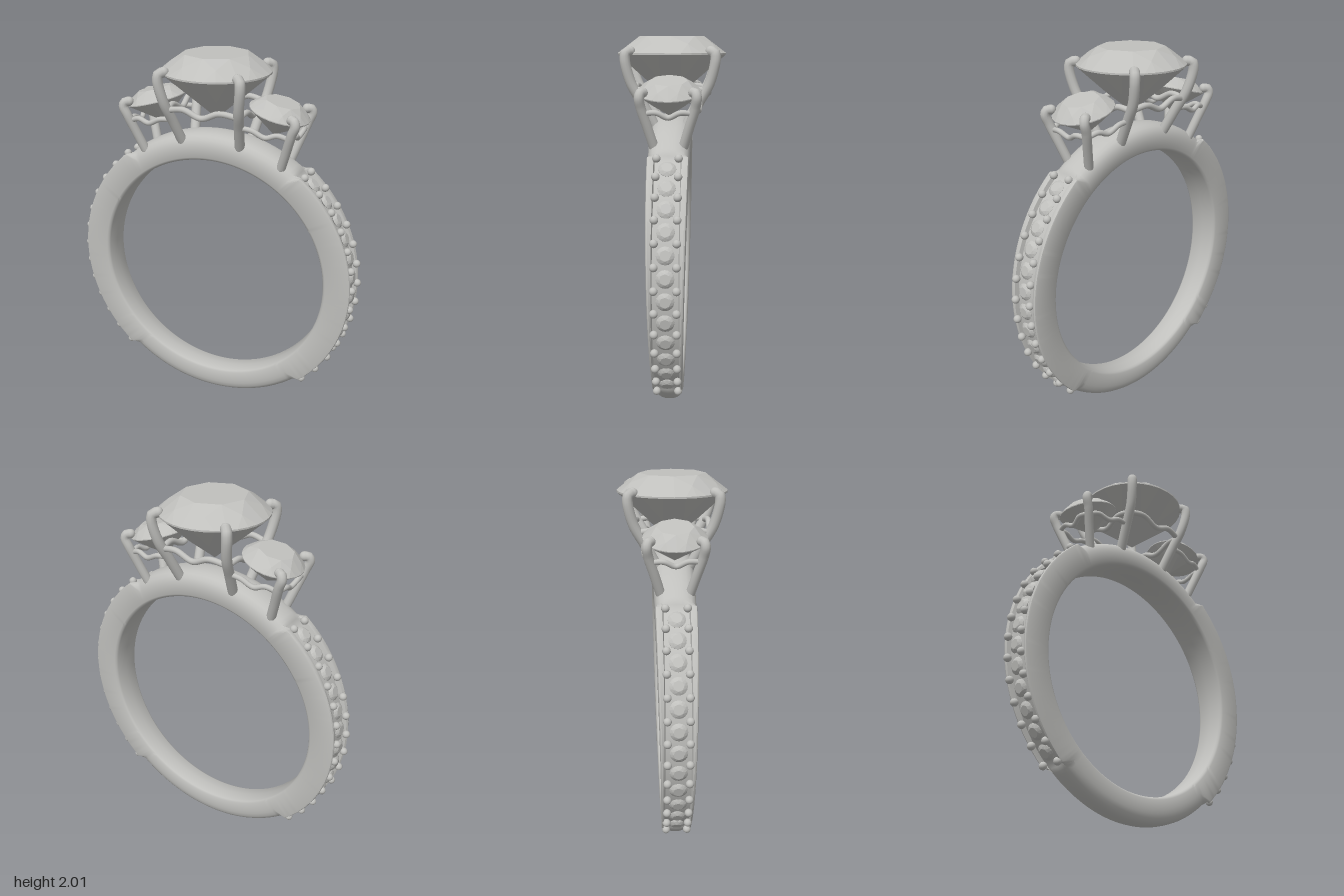
import * as THREE from 'three';
import { toCreasedNormals } from 'three/addons/utils/BufferGeometryUtils.js';
import { ConvexGeometry } from 'three/addons/geometries/ConvexGeometry.js';

const CY = 0.79;                    // height of the ring's centre
const PAVE_LOW = -47, PAVE_HIGH = 50; // degrees of the jewelled shoulders
const rad = THREE.MathUtils.degToRad;
const V = (x, y, z) => new THREE.Vector3(x, y, z);

// Half cross-sections as [z, radius], from mid outside round to mid inside
function profile(w, pave) {
  const plain = [
    [0, 0.797], [w * 0.3, 0.796], [w * 0.55, 0.79], [w * 0.75, 0.78], [w * 0.9, 0.763],
    [w * 0.98, 0.74], [w, 0.72], [w, 0.668], [w - 0.006, 0.658], [w - 0.016, 0.652], [0, 0.65],
  ];
  const channel = [
    [0, 0.776], [0.045, 0.776], [0.064, 0.776], [0.069, 0.798], [w - 0.01, 0.803],
    [w - 0.003, 0.8], [w, 0.792], [w, 0.668], [w - 0.006, 0.658], [w - 0.016, 0.652], [0, 0.65],
  ];
  const half = plain.map((p, i) => p.map((v, k) => THREE.MathUtils.lerp(v, channel[i][k], pave)));
  const back = half.slice(1, -1).reverse().map(([z, r]) => [-z, r]);
  return [...half, ...back];
}

// Band: cross-sections swept round the circle, wider at the top
function bandGeometry() {
  const pos = [], index = [], steps = 240;
  let n = 0;
  for (let i = 0; i < steps; i++) {
    const t = (i / steps) * Math.PI * 2, s = Math.sin(t);
    const e = THREE.MathUtils.radToDeg(Math.asin(s));
    const pave = THREE.MathUtils.smoothstep(e, PAVE_LOW - 4, PAVE_LOW - 1)
      * (1 - THREE.MathUtils.smoothstep(e, PAVE_HIGH + 1, PAVE_HIGH + 4));
    const section = profile(0.073 + 0.0175 * (s + 1), pave);
    n = section.length;
    for (const [z, r] of section) pos.push(r * Math.cos(t), CY + r * s, z);
  }
  for (let i = 0; i < steps; i++) {
    for (let j = 0; j < n; j++) {
      const i2 = (i + 1) % steps, j2 = (j + 1) % n;
      const a = i * n + j, b = i2 * n + j, c = i2 * n + j2, d = i * n + j2;
      index.push(a, b, c, a, c, d);
    }
  }
  const g = new THREE.BufferGeometry();
  g.setAttribute('position', new THREE.Float32BufferAttribute(pos, 3));
  g.setIndex(index);
  return toCreasedNormals(g, rad(38));
}

// Round brilliant cut: girdle at y = 0, table above, point below
function gemGeometry(R, crown, depth, sides, table = 0.6) {
  const pts = [V(0, -depth, 0)];
  const ring = (n, r, y, offset = 0) => {
    for (let k = 0; k < n; k++) {
      const a = ((k + offset) / n) * Math.PI * 2;
      pts.push(V(r * Math.cos(a), y, r * Math.sin(a)));
    }
  };
  ring(8, R * table, crown);
  ring(8, R * 0.82, crown * 0.55, 0.5);
  ring(sides, R, R * 0.015);
  ring(sides, R, -R * 0.015);
  ring(8, R * 0.5, -depth * 0.54, 0.5);
  return new ConvexGeometry(pts);
}

export function createModel() {
  const model = new THREE.Group();
  const metal = new THREE.MeshStandardMaterial({ color: 0xc0c0bd });
  metal.name = 'silver grey';

  const add = (name, geo, parent = model) => {
    const m = new THREE.Mesh(geo, metal);
    m.name = name;
    parent.add(m);
    return m;
  };
  // Round wire through points, with ball ends
  const wire = (name, points, r) => {
    const g = new THREE.Group();
    g.name = name;
    const curve = new THREE.CatmullRomCurve3(points);
    add(name + 'Rod', new THREE.TubeGeometry(curve, 28, r, 12), g);
    for (const p of [points[0], points[points.length - 1]]) {
      add(name + 'End', new THREE.SphereGeometry(r, 12, 8), g).position.copy(p);
    }
    model.add(g);
  };

  add('band', bandGeometry());

  // Centre stone
  add('centreStone', gemGeometry(0.292, 0.092, 0.255, 32)).position.y = 1.908;

  // Side stones, leaning outward
  const sideGem = gemGeometry(0.163, 0.06, 0.125, 24, 0.58);
  for (const s of [1, -1]) {
    const gem = add('sideStone', sideGem);
    gem.position.set(s * 0.353, 1.722, 0);
    gem.rotation.z = -s * rad(15);
  }

  for (const s of [1, -1]) {
    for (const f of [1, -1]) {
      // Claws of the centre stone
      wire('centreProng', [
        V(s * 0.165, 1.52, f * 0.075), V(s * 0.187, 1.65, f * 0.145), V(s * 0.208, 1.76, f * 0.205),
        V(s * 0.226, 1.88, f * 0.234), V(s * 0.222, 1.915, f * 0.23), V(s * 0.202, 1.922, f * 0.208),
      ], 0.027);
      // Claws of the side stones
      wire('sideProng', [
        V(s * 0.395, 1.45, f * 0.075), V(s * 0.43, 1.55, f * 0.105), V(s * 0.465, 1.65, f * 0.135),
        V(s * 0.484, 1.7, f * 0.142), V(s * 0.477, 1.721, f * 0.137), V(s * 0.458, 1.724, f * 0.124),
      ], 0.025);
      // Rail from centre claw to side claw
      wire('sideRail', [
        V(s * 0.19, 1.66, f * 0.15), V(s * 0.26, 1.655, f * 0.155), V(s * 0.33, 1.625, f * 0.15),
        V(s * 0.39, 1.64, f * 0.14), V(s * 0.452, 1.62, f * 0.122),
      ], 0.014);
    }
    // Wavy gallery rails below the centre stone
    wire('galleryRail', [
      V(-0.2, 1.72, s * 0.185), V(-0.1, 1.735, s * 0.2), V(0, 1.7, s * 0.2),
      V(0.1, 1.735, s * 0.2), V(0.2, 1.72, s * 0.185),
    ], 0.016);
    wire('galleryRail', [
      V(s * 0.2, 1.72, -0.185), V(s * 0.21, 1.73, -0.1), V(s * 0.205, 1.69, 0),
      V(s * 0.21, 1.73, 0.1), V(s * 0.2, 1.72, 0.185),
    ], 0.016);
    // Outer rail below each side stone
    wire('outerRail', [
      V(s * 0.452, 1.62, -0.122), V(s * 0.465, 1.625, -0.06), V(s * 0.455, 1.6, 0),
      V(s * 0.465, 1.625, 0.06), V(s * 0.452, 1.62, 0.122),
    ], 0.014);
  }

  // Small stones and beads set along both shoulders
  const smallGem = gemGeometry(0.045, 0.014, 0.03, 16);
  const bead = new THREE.SphereGeometry(0.021, 14, 10);
  const count = 12, step = (PAVE_HIGH - PAVE_LOW) / count;
  for (const s of [1, -1]) {
    const shoulder = new THREE.Group();
    shoulder.name = s > 0 ? 'leftShoulder' : 'rightShoulder';
    model.add(shoulder);
    const place = (mesh, deg, r, z) => {
      const a = rad(deg);
      mesh.position.set(s * r * Math.cos(a), CY + r * Math.sin(a), z);
      mesh.rotation.z = s * (a - Math.PI / 2);
    };
    for (let i = 0; i <= count; i++) {
      const deg = PAVE_LOW + i * step;
      for (const f of [1, -1]) place(add('bead', bead, shoulder), deg, 0.805, f * 0.055);
      if (i < count) place(add('smallStone', smallGem, shoulder), deg + step / 2, 0.791, 0);
    }
  }
  return model;
}
